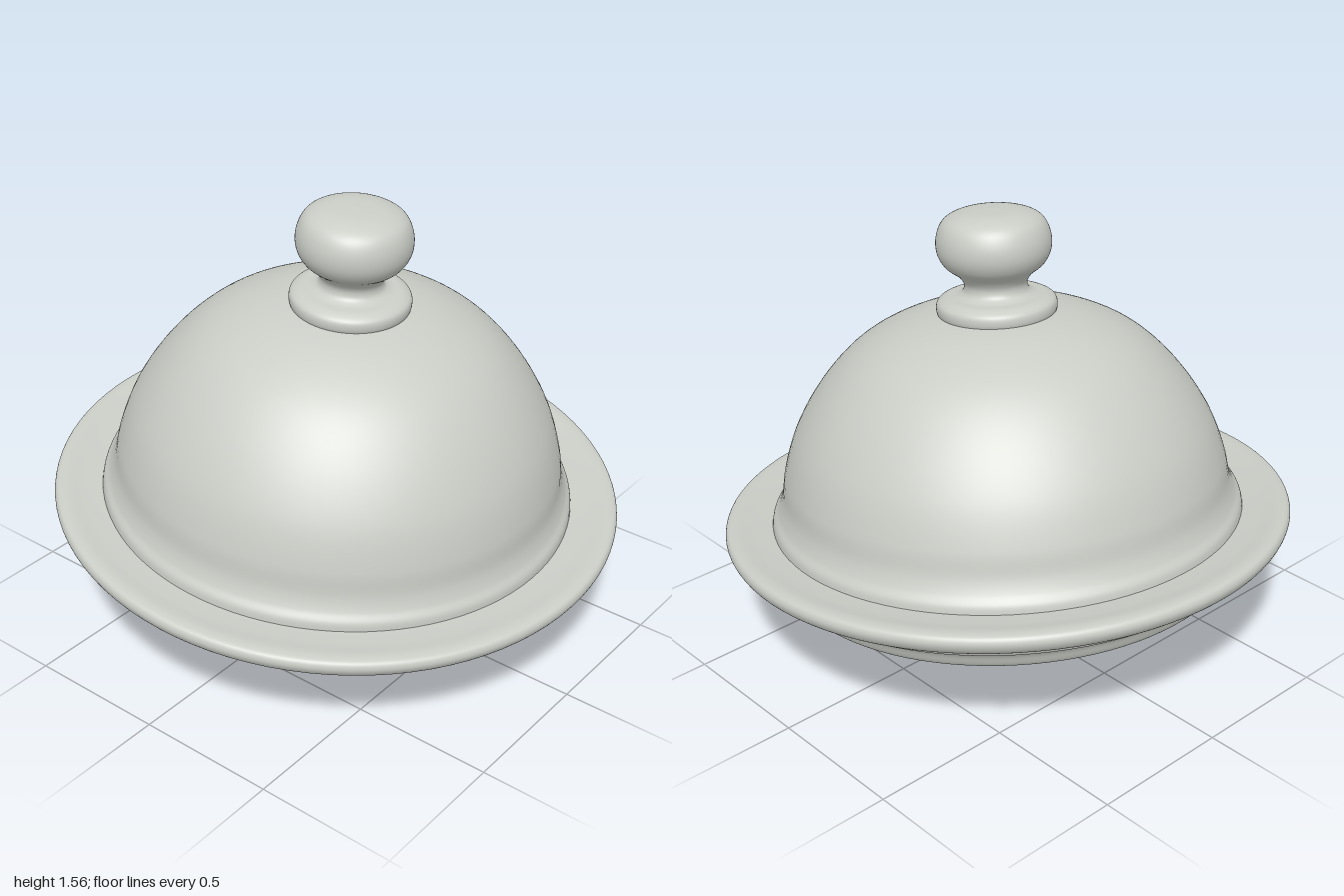
import * as THREE from 'three';

// Smooth turned part from a few [radius, height] points, listed bottom to top
function turned(name, points, material, steps) {
  const curve = new THREE.CatmullRomCurve3(
    points.map(([r, h]) => new THREE.Vector3(r, h, 0)), false, 'centripetal');
  const profile = curve.getPoints(steps).map(p => new THREE.Vector2(Math.max(p.x, 0), p.y));
  const mesh = new THREE.Mesh(new THREE.LatheGeometry(profile, 96), material);
  mesh.name = name;
  return mesh;
}

export function createModel() {
  const porcelain = new THREE.MeshStandardMaterial({ color: 0xcacdc6 });
  porcelain.name = 'pale porcelain';

  const dish = new THREE.Group();
  dish.name = 'coveredDish';

  // Plate: bulging underside, stepped foot, rounded rim and flat top
  dish.add(turned('plate', [
    [0, -0.453], [0.1, -0.442], [0.235, -0.393], [0.425, -0.29], [0.62, -0.225],
    [0.76, -0.188], [0.8, -0.17], [0.825, -0.125], [0.845, -0.102], [0.872, -0.092],
    [0.885, -0.072], [0.935, -0.046], [0.985, -0.016], [1, 0.015], [0.992, 0.037],
    [0.965, 0.044], [0.9, 0.036], [0.82, 0.03], [0.7, 0.03],
  ], porcelain, 120));

  // Lid: flared foot and dome, closed at the top
  dish.add(turned('domeLid', [
    [0.835, 0.02], [0.828, 0.055], [0.808, 0.085], [0.79, 0.13], [0.774, 0.216],
    [0.722, 0.361], [0.617, 0.523], [0.494, 0.642], [0.346, 0.719], [0.205, 0.755],
    [0, 0.765],
  ], porcelain, 80));

  // Knob: collar, narrow neck and flattened ball
  dish.add(turned('knob', [
    [0.195, 0.735], [0.207, 0.765], [0.203, 0.793], [0.175, 0.81], [0.135, 0.816],
    [0.113, 0.83], [0.108, 0.855], [0.125, 0.885], [0.172, 0.925], [0.194, 0.97],
    [0.193, 1.025], [0.168, 1.075], [0.11, 1.102], [0, 1.111],
  ], porcelain, 80));

  // The whole dish leans forward and slightly to one side
  dish.position.y = 0.457;
  dish.rotation.set(0.09, 0, 0.02);

  const model = new THREE.Group();
  model.add(dish);
  return model;
}
